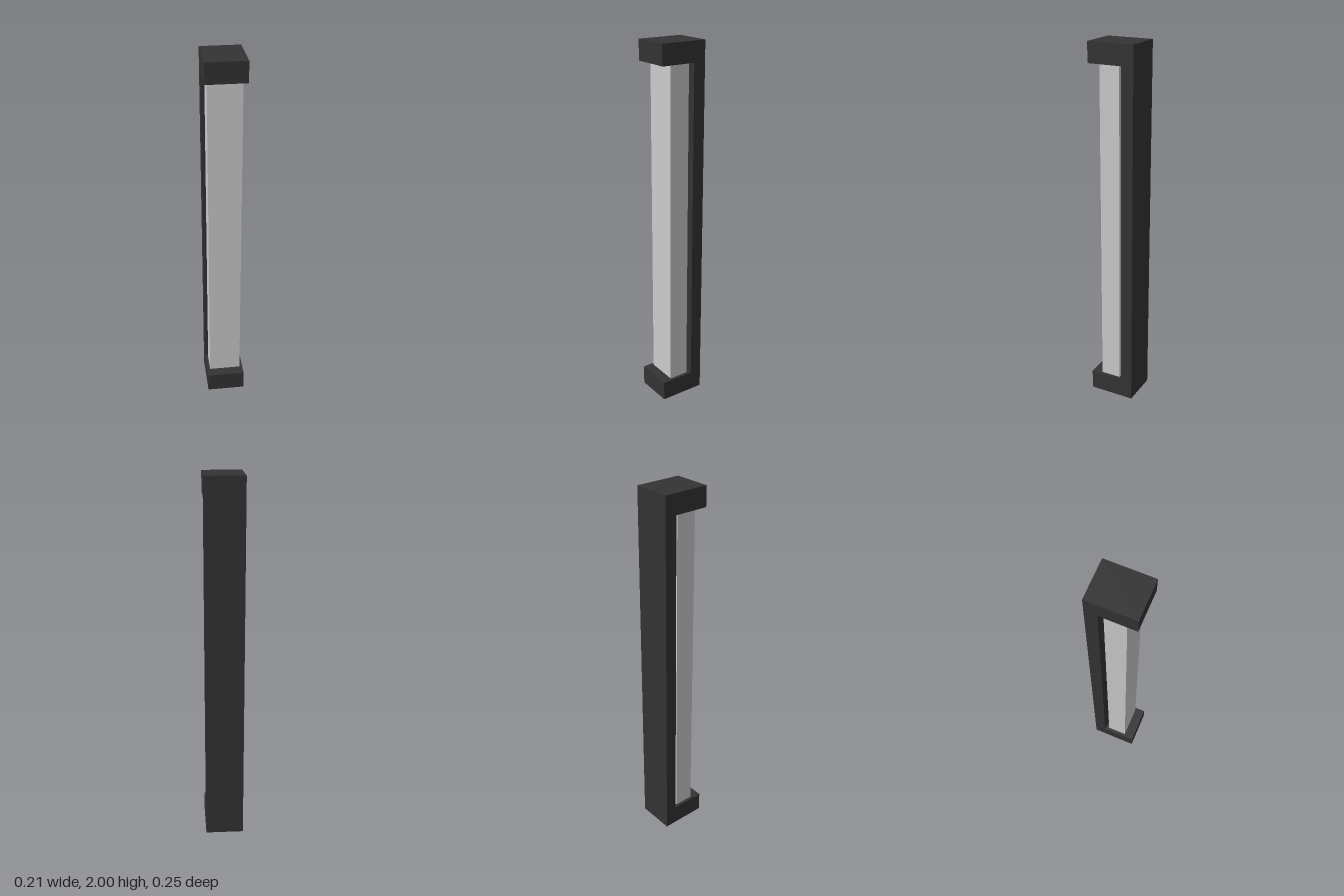
import * as THREE from 'three';

export function createModel() {
  const group = new THREE.Group();
  const dark = new THREE.MeshStandardMaterial({ color: 0x333333 });
  const grey = new THREE.MeshStandardMaterial({ color: 0xcccccc });

  // C-shaped bracket: side profile (z, y) extruded across the width
  const width = 0.21;
  const profile = new THREE.Shape([
    [-0.127, 0], [0.127, 0], [0.127, 0.11], [-0.061, 0.11],
    [-0.061, 1.893], [0.127, 1.893], [0.127, 2], [-0.127, 2],
  ].map(([z, y]) => new THREE.Vector2(-z, y)));
  const bracketGeometry = new THREE.ExtrudeGeometry(profile, { depth: width, bevelEnabled: false });
  bracketGeometry.translate(0, 0, -width / 2).rotateY(Math.PI / 2);
  const bracket = new THREE.Mesh(bracketGeometry, dark);
  bracket.name = 'bracket';
  group.add(bracket);

  // Upright bar held between the two arms, clear of the back plate
  const bar = new THREE.Mesh(new THREE.BoxGeometry(0.176, 1.783, 0.111), grey);
  bar.position.set(0, 1.0015, 0.0145);
  bar.name = 'bar';
  group.add(bar);

  return group;
}
